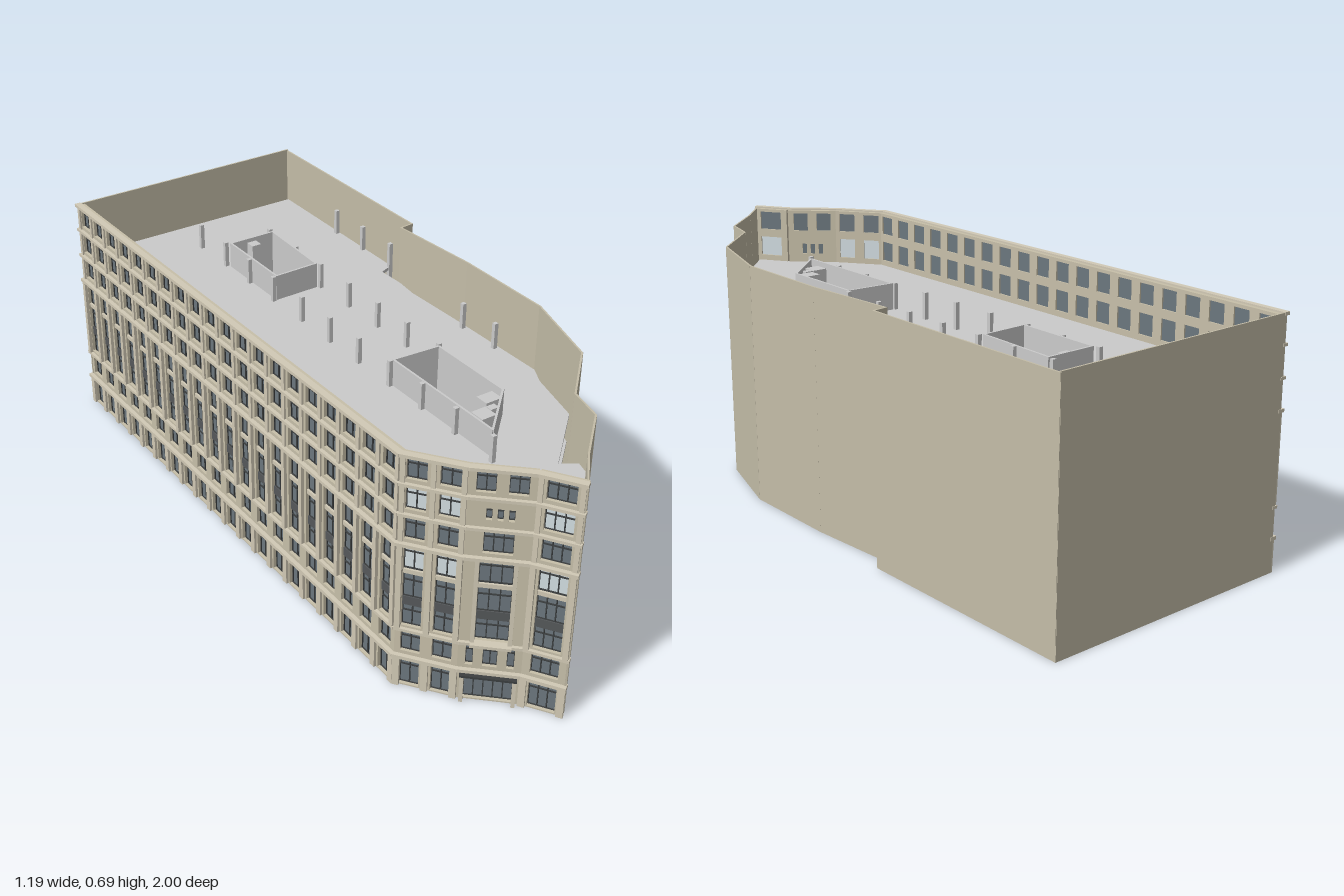
import * as THREE from 'three';

const mat = (color, side = THREE.FrontSide) => new THREE.MeshStandardMaterial({ color, side });
const stone = mat(0xc8c0aa), trim = mat(0xd2cab6), glass = mat(0x6c777e), paleGlass = mat(0xd3dee2);
const frame = mat(0x3c3f40), panel = mat(0x55585a), concrete = mat(0xcccccc);
const wallMat = mat(0xc4bda8, THREE.DoubleSide);
const unit = new THREE.BoxGeometry(1, 1, 1);

// Box given by its centre and size
function box(parent, name, m, x, y, z, w, h, d) {
  const b = new THREE.Mesh(unit, m);
  b.name = name;
  b.position.set(x, y, z);
  b.scale.set(w, h, d);
  parent.add(b);
  return b;
}

// Group whose local x runs along the plan from p to q, with local z facing outward
function along(parent, name, p, q) {
  const g = new THREE.Group();
  g.name = name;
  g.position.set(p[0], 0, p[1]);
  g.rotation.y = -Math.atan2(q[1] - p[1], q[0] - p[0]);
  g.userData.length = Math.hypot(q[0] - p[0], q[1] - p[1]);
  parent.add(g);
  return g;
}

// Thin plain wall on a plan segment
function plainWall(parent, name, p, q, y0, y1, m = wallMat, t = 0.005) {
  const g = along(parent, name, p, q), L = g.userData.length;
  box(g, name, m, L / 2, (y0 + y1) / 2, 0, L + t * 0.6, y1 - y0, t);
}

// Glazing with mullions and a transom
function windowUnit(g, { x, y0, y1, w, pale, bars = 1 }) {
  const h = y1 - y0, y = (y0 + y1) / 2;
  box(g, 'windowGlass', pale ? paleGlass : glass, x, y, -0.014, w, h, 0.003);
  for (let i = 0; i <= bars + 1; i++) {
    box(g, 'windowMullion', frame, x - w / 2 + (w * i) / (bars + 1), y, -0.012, 0.003, h, 0.006);
  }
  for (const ty of [y0, y1, y0 + h * 0.7]) box(g, 'windowTransom', frame, x, ty, -0.012, w, 0.003, 0.006);
}

// Tall opening over three storeys with dark spandrels
function tallWindow(g, x, w, bars, pale) {
  windowUnit(g, { x, y0: 0.19, y1: 0.25, w, bars });
  windowUnit(g, { x, y0: 0.275, y1: 0.345, w, bars });
  windowUnit(g, { x, y0: 0.36, y1: 0.43, w, bars, pale });
  box(g, 'spandrel', panel, x, 0.2625, -0.012, w, 0.025, 0.012);
  box(g, 'spandrelBand', trim, x, 0.3525, -0.01, w, 0.012, 0.014);
}

// Stone sheet with rectangular openings [x, y0, y1, w]
function stoneSheet(g, openings) {
  const L = g.userData.length, rect = (S, x0, y0, x1, y1) => {
    const s = new S();
    s.moveTo(x0, y0); s.lineTo(x1, y0); s.lineTo(x1, y1); s.lineTo(x0, y1); s.closePath();
    return s;
  };
  const shape = rect(THREE.Shape, 0, 0, L, 0.685);
  shape.holes = openings.map(([x, y0, y1, w]) => rect(THREE.Path, x - w / 2, y0, x + w / 2, y1));
  const geo = new THREE.ExtrudeGeometry(shape, { depth: 0.02, bevelEnabled: false });
  geo.translate(0, 0, -0.02);
  const m = new THREE.Mesh(geo, stone);
  m.name = 'facadeWall';
  g.add(m);
  // Cornices between the storeys
  for (const [y, h, d] of [[0.095, 0.01, 0.012], [0.18, 0.008, 0.009], [0.436, 0.009, 0.012],
    [0.521, 0.008, 0.01], [0.606, 0.008, 0.01], [0.685, 0.009, 0.01]]) {
    box(g, 'cornice', trim, L / 2, y, d / 2 - 0.004, L + 0.008, h, d + 0.008);
  }
}

const ROWS = [[0.004, 0.085], [0.11, 0.17], [0.19, 0.43], [0.45, 0.51], [0.535, 0.595], [0.62, 0.676]];

// Facade of equal bays with pilasters between them
function bayFacade(parent, name, p, q, count, w, bars, pale) {
  const g = along(parent, name, p, q), step = g.userData.length / count, openings = [];
  for (let i = 0; i < count; i++) {
    const x = (i + 0.5) * step;
    ROWS.forEach(([y0, y1], r) => {
      openings.push([x, y0, y1, w]);
      if (r === 2) tallWindow(g, x, w, bars, pale);
      else windowUnit(g, { x, y0, y1, w, bars, pale: pale && r === 4 });
    });
  }
  for (let i = 0; i <= count; i++) {
    const x = THREE.MathUtils.clamp(i * step, 0.007, g.userData.length - 0.007);
    box(g, 'pilaster', trim, x, 0.307, 0.004, 0.014, 0.25, 0.01);
    box(g, 'groundPier', trim, x, 0.046, 0.003, 0.018, 0.092, 0.008);
    box(g, 'upperPier', trim, x, 0.562, 0.002, 0.012, 0.24, 0.006);
  }
  stoneSheet(g, openings);
}

// Entrance bay with portal, balcony and framed tall window
function entranceFacade(parent, p, q) {
  const g = along(parent, 'entranceFacade', p, q), L = g.userData.length, c = L / 2;
  const openings = [[c, 0.004, 0.085, 0.12], [c, 0.19, 0.43, 0.08], [c, 0.45, 0.51, 0.07]];
  windowUnit(g, { x: c, y0: 0.004, y1: 0.085, w: 0.12, bars: 4 });
  tallWindow(g, c, 0.08, 2, false);
  windowUnit(g, { x: c, y0: 0.45, y1: 0.51, w: 0.07, bars: 2 });
  const extra = [[0.11, 0.17, 0.035, 0], [0.11, 0.17, 0.018, -0.05], [0.11, 0.17, 0.018, 0.05],
    [0.62, 0.676, 0.045, -0.037], [0.62, 0.676, 0.045, 0.037]];
  for (const dx of [-0.026, 0, 0.026]) extra.push([0.545, 0.577, 0.014, dx]);
  for (const [y0, y1, w, dx] of extra) {
    openings.push([c + dx, y0, y1, w]);
    windowUnit(g, { x: c + dx, y0, y1, w, bars: w > 0.03 ? 1 : 0 });
  }
  stoneSheet(g, openings);
  for (const s of [-1, 1]) {
    box(g, 'portalPost', trim, c + s * 0.064, 0.045, 0.006, 0.01, 0.09, 0.018);
    box(g, 'tallWindowJamb', trim, c + s * 0.045, 0.31, 0.005, 0.01, 0.25, 0.014);
  }
  box(g, 'portalCanopy', frame, c, 0.088, 0.01, 0.14, 0.006, 0.026);
  box(g, 'balcony', trim, c, 0.186, 0.011, 0.1, 0.008, 0.024);
}

// Plan points as x, z
const BACK_L = [-0.59, -0.71], BACK_R = [0.1, -1], CORNER = [0.03, 0.783];
const FRONT = [CORNER, [0.167, 0.866], [0.312, 0.922], [0.403, 0.985]];
const RIGHT = [BACK_R, [0.357, -0.386], [0.32, -0.366], [0.447, -0.11], [0.563, 0.175], [0.588, 0.43],
  [0.505, 0.615], [0.52, 0.715], [0.447, 0.868], FRONT[3]];
const SHAFTS = [[[-0.155, -0.545], [-0.02, -0.6], [0.066, -0.365], [-0.06, -0.31]],
  [[0.155, 0.22], [0.29, 0.175], [0.39, 0.42], [0.31, 0.595]]];
const SLAB = [[-0.575, -0.71], [0.1, -0.99], [0.315, -0.455], [0.28, -0.42], [0.315, -0.34], [0.335, -0.27],
  [0.41, -0.1], [0.545, 0.22], [0.54, 0.28], [0.562, 0.45], [0.46, 0.66], [0.51, 0.67], [0.515, 0.72],
  [0.442, 0.868], [0.4, 0.975], [0.318, 0.91], [0.17, 0.852], [0.04, 0.775]];
const COLUMNS = [[-0.225, -0.69], [-0.17, -0.555], [-0.025, -0.62], [-0.12, -0.43], [0.03, -0.487],
  [-0.07, -0.305], [0.08, -0.36], [0.203, -0.71], [0.256, -0.58], [0.31, -0.45], [-0.013, -0.17],
  [0.135, -0.227], [0.04, -0.037], [0.188, -0.095], [0.092, 0.09], [0.24, 0.03], [0.294, 0.16],
  [0.42, -0.042], [0.473, 0.085], [0.145, 0.222], [0.198, 0.35], [0.25, 0.48], [0.305, 0.62]];

export function createModel() {
  const model = new THREE.Group();
  model.name = 'cornerBuilding';

  // Street facades
  bayFacade(model, 'longFacade', BACK_L, CORNER, 20, 0.05, 1, false);
  bayFacade(model, 'frontFacadeLeft', FRONT[0], FRONT[1], 2, 0.05, 1, true);
  entranceFacade(model, FRONT[1], FRONT[2]);
  bayFacade(model, 'frontFacadeRight', FRONT[2], FRONT[3], 1, 0.07, 2, true);

  // Plain party walls
  plainWall(model, 'backWall', BACK_L, BACK_R, 0, 0.688);
  for (let i = 0; i < RIGHT.length - 1; i++) plainWall(model, 'partyWall', RIGHT[i], RIGHT[i + 1], 0, 0.685);

  // Floor slabs pierced by the shafts
  const toPlan = (pts) => pts.map(([x, z]) => new THREE.Vector2(x, -z));
  const slabShape = new THREE.Shape(toPlan(SLAB));
  slabShape.holes = SHAFTS.map((s) => new THREE.Path(toPlan(s)));
  const slabGeo = new THREE.ExtrudeGeometry(slabShape, { depth: 0.01, bevelEnabled: false });
  slabGeo.rotateX(-Math.PI / 2);
  for (const y of [0.345, 0.425, 0.508]) {
    const slab = new THREE.Mesh(slabGeo, concrete);
    slab.name = 'floorSlab';
    slab.position.y = y;
    model.add(slab);
  }

  // Shaft walls, columns and service cores
  for (const s of SHAFTS) {
    s.forEach((p, i) => plainWall(model, 'shaftWall', p, s[(i + 1) % 4], 0.345, 0.595, concrete, 0.006));
  }
  for (const [x, z] of COLUMNS) {
    box(model, 'column', concrete, x, 0.47, z, 0.012, 0.25, 0.012).rotation.y = 0.39;
  }
  for (const [x, z, w, d] of [[-0.085, -0.55, 0.03, 0.03], [0.35, 0.435, 0.05, 0.04],
    [0.315, 0.505, 0.045, 0.045], [0.345, 0.48, 0.025, 0.02]]) {
    box(model, 'serviceCore', concrete, x, 0.465, z, w, 0.24, d).rotation.y = 0.39;
  }
  return model;
}
